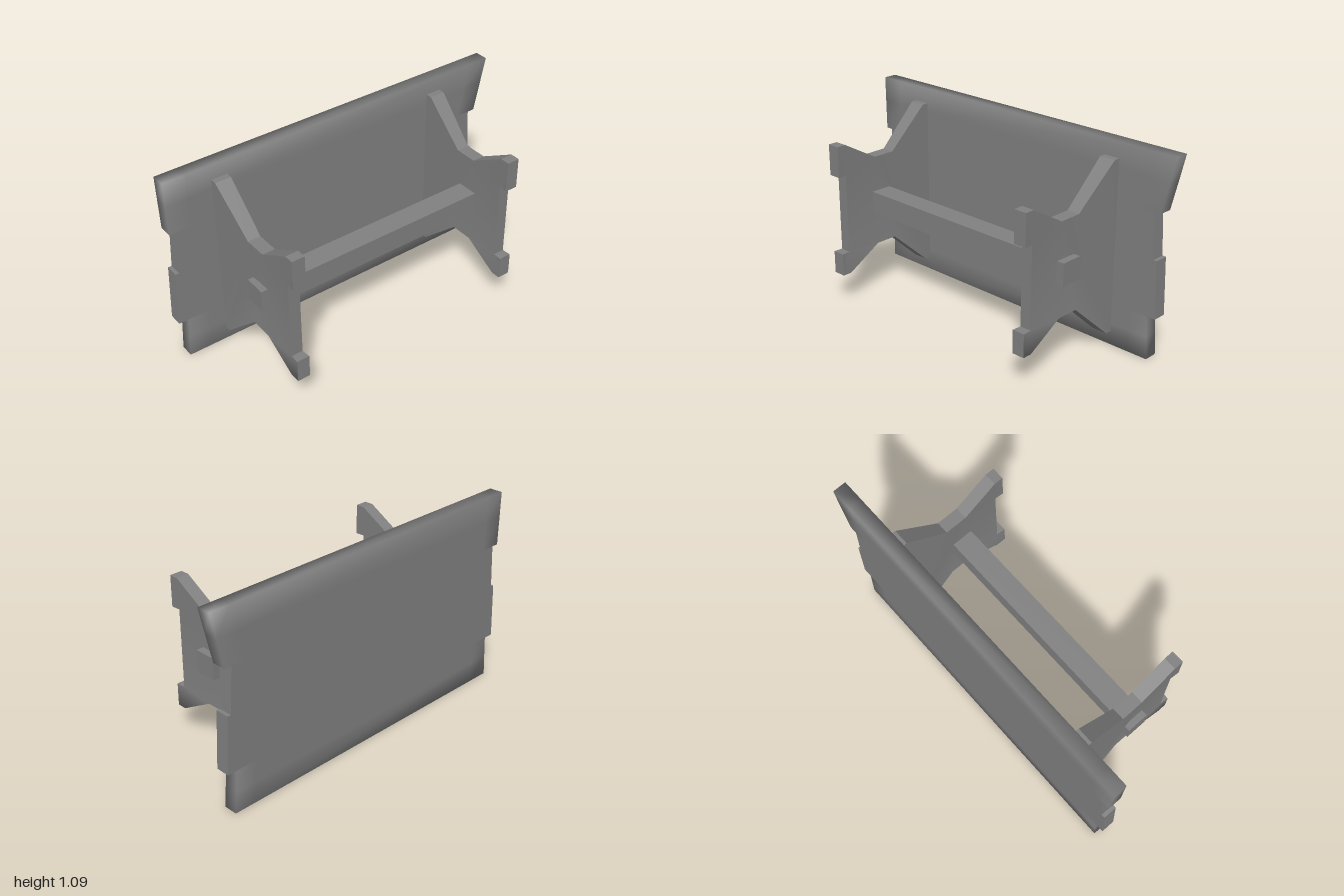
import * as THREE from 'three';
import { toCreasedNormals } from 'three/addons/utils/BufferGeometryUtils.js';

const material = new THREE.MeshStandardMaterial({ color: 0x808080 });

function add(group, name, geometry) {
  const mesh = new THREE.Mesh(geometry, material);
  mesh.name = name;
  group.add(mesh);
  return mesh;
}

// Table lying on its long side: the top stands upright at the back
const BOARD_BACK = -0.36, BOARD_FRONT = -0.285, INSET = 0.12;

// Closed band of the table top, lofted upward through rows of [y, left end, right end]
function boardBand(rows) {
  const positions = [], index = [];
  for (const [y, x0, x1] of rows) {
    const xs = [x0, x0 + INSET, x1 - INSET, x1];
    for (const x of xs) positions.push(x, y, BOARD_FRONT);
    for (const x of xs.reverse()) positions.push(x, y, BOARD_BACK);
  }
  const quad = (a, b, c, d) => index.push(a, b, c, a, c, d);
  for (let i = 0; i < rows.length - 1; i++) {
    for (let j = 0; j < 8; j++) {
      const a = i * 8 + j, b = i * 8 + (j + 1) % 8;
      quad(a, b, b + 8, a + 8);
    }
  }
  const top = (rows.length - 1) * 8;
  for (let k = 0; k < 3; k++) {
    quad(top + k, top + k + 1, top + 6 - k, top + 7 - k);
    quad(7 - k, 6 - k, k + 1, k);
  }
  const geometry = new THREE.BufferGeometry();
  geometry.setAttribute('position', new THREE.Float32BufferAttribute(positions, 3));
  geometry.setIndex(index);
  geometry.computeVertexNormals();
  return geometry;
}

// Softly worn long edges; a repeated row keeps the ledge beside it sharp
const wornBands = {
  lowerEdge: [[0, -0.96, 0.9], [0.12, -0.952, 0.892], [0.235, -0.945, 0.885], [0.235, -0.945, 0.885]],
  upperEdge: [[0.79, -0.99, 0.93], [0.79, -0.99, 0.93], [0.95, -0.993, 0.968], [1.088, -0.995, 1]],
};

// Sharp-edged middle, stepped at the ends
const sharpBands = {
  lowerMiddle: [[0.235, -1, 0.937], [0.545, -0.985, 0.925]],
  upperMiddle: [[0.545, -0.965, 0.905], [0.79, -0.95, 0.89]],
};

// Trestle profile, as z, y: wide against the top, waisted, with two feet
const trestleOutline = [
  [BOARD_FRONT, 0.075], [-0.25, 0.075], [-0.015, 0.288], [0.11, 0.288], [0.31, 0.173],
  [0.362, 0.173], [0.362, 0.298], [0.312, 0.298], [0.312, 0.737], [0.362, 0.737],
  [0.362, 0.907], [0.31, 0.907], [0.11, 0.792], [-0.015, 0.792], [-0.25, 1.005],
  [BOARD_FRONT, 1.005],
];

// side is +1 for the left trestle, -1 for the right; innerX is its inner face
function trestleGeometry(side, innerX) {
  const thickness = 0.07;
  const shape = new THREE.Shape(trestleOutline.map(([z, y]) => new THREE.Vector2(z, y)));
  let geometry = new THREE.ExtrudeGeometry(shape, { depth: thickness, bevelEnabled: false });
  geometry.translate(0, 0, -thickness / 2);
  geometry.rotateY(-Math.PI / 2);
  const p = geometry.attributes.position;
  for (let i = 0; i < p.count; i++) {
    const y = p.getY(i), z = p.getZ(i);
    const outer = p.getX(i) * side > 0;
    let offset = outer ? thickness : 0;
    // Outer face thickens toward the table top
    if (outer && z < -0.02) offset += 0.018 * Math.min(1, (-0.015 - z) / 0.235);
    // Edge between the feet is a little thinner
    if (z > 0.311 && z < 0.32) offset += outer ? -0.004 : 0.004;
    p.setX(i, innerX + side * offset);
  }
  geometry = toCreasedNormals(geometry, 0.5);

  // Lower foot is softly worn: its outer face leans into the underside
  const q = geometry.attributes.position, n = geometry.attributes.normal;
  const normal = new THREE.Vector3();
  for (let i = 0; i < q.count; i++) {
    normal.fromBufferAttribute(n, i);
    if (normal.x * side < 0.7 || q.getY(i) > 0.2 || q.getZ(i) < 0.3) continue;
    normal.y -= 0.7;
    normal.normalize();
    n.setXYZ(i, normal.x, normal.y, normal.z);
  }
  return geometry;
}

export function createModel() {
  const group = new THREE.Group();
  group.name = 'overturnedTable';

  // Table top
  const tableTop = new THREE.Group();
  tableTop.name = 'tableTop';
  group.add(tableTop);
  for (const [name, rows] of Object.entries(wornBands)) add(tableTop, name, boardBand(rows));
  for (const [name, rows] of Object.entries(sharpBands)) {
    add(tableTop, name, toCreasedNormals(boardBand(rows), 0.5));
  }

  // Trestles
  add(group, 'leftTrestle', trestleGeometry(1, 0.585));
  add(group, 'rightTrestle', trestleGeometry(-1, -0.65));

  // Stretcher passing through both trestles
  add(group, 'stretcher', new THREE.BoxGeometry(1.45, 0.12, 0.12)).position.set(-0.03, 0.538, 0.075);

  return group;
}
